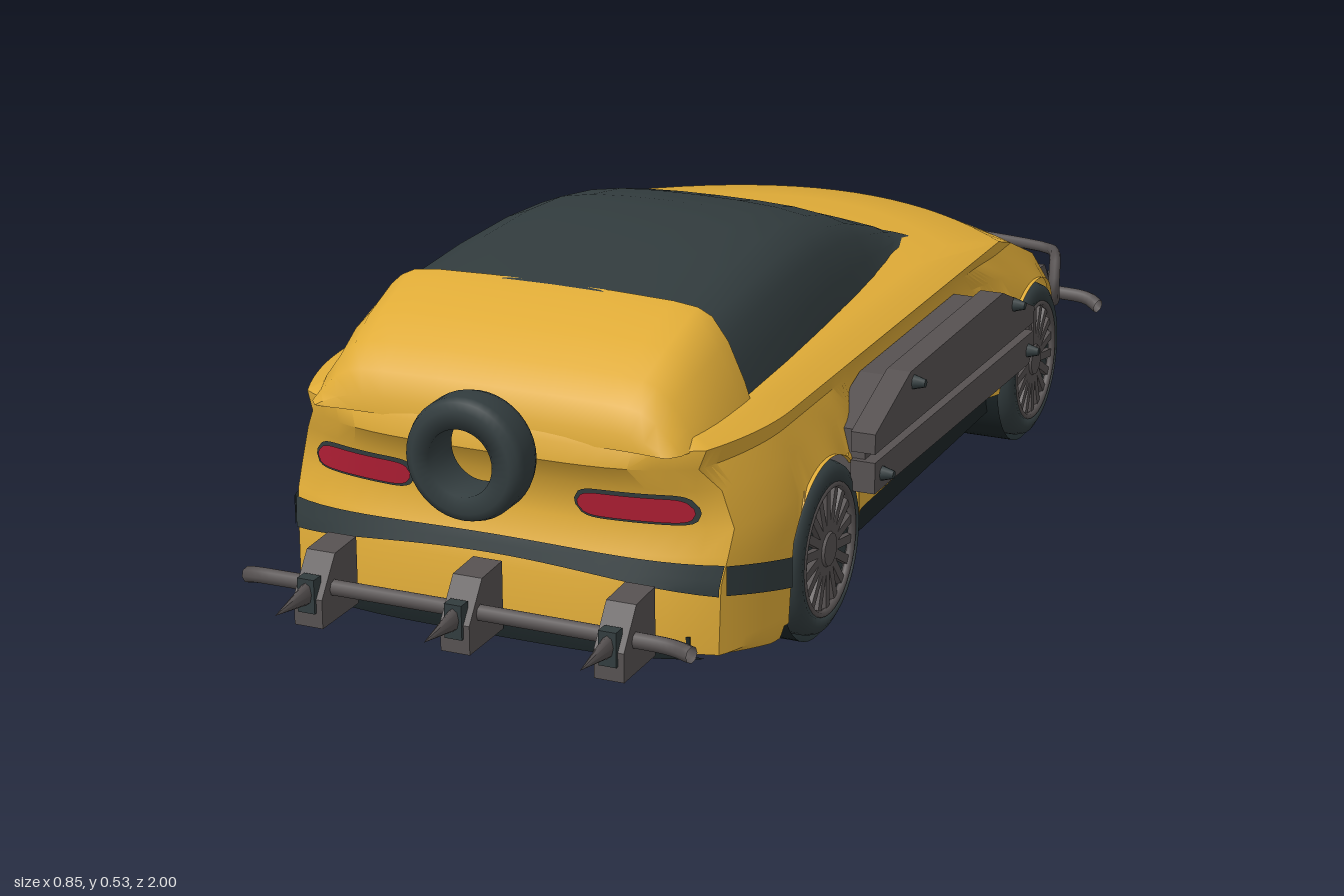
import * as THREE from 'three';
import { toCreasedNormals } from 'three/addons/utils/BufferGeometryUtils.js';

const mat = (name, color) => new THREE.MeshStandardMaterial({ name, color, side: THREE.DoubleSide });
const paint = mat('yellow paint', 0xdfab37);
const charcoal = mat('charcoal', 0x323c3e);
const black = mat('underbody black', 0x1b2426);
const metal = mat('dark metal', 0x565151);
const red = mat('lamp red', 0xb01e34);

const { lerp, smoothstep, clamp } = THREE.MathUtils;
const WHEELS = [[0.473, 0.131, 0.126], [-0.428, 0.131, 0.126]]; // z, y, radius

// Body outline by height: y, half width, nose z, tail z, nose curvature
const LEVELS = [
  [0.04, 0.365, -0.65, 0.785, 0.11], [0.07, 0.372, -0.657, 0.8, 0.11], [0.085, 0.372, -0.637, 0.8, 0.11],
  [0.17, 0.372, -0.645, 0.797, 0.11], [0.21, 0.372, -0.637, 0.785, 0.11], [0.245, 0.366, -0.622, 0.768, 0.11],
  [0.3, 0.352, -0.585, 0.775, 0.12], [0.335, 0.338, -0.535, 0.8, 0.14], [0.362, 0.347, -0.48, 0.796, 0.17],
  [0.375, 0.32, -0.38, 0.79, 0.2], [0.383, 0.29, -0.25, 0.775, 0.18], [0.386, 0.01, 0, 0.5, 0]];

function levelAt(y) {
  let i = 0;
  while (i < LEVELS.length - 2 && LEVELS[i + 1][0] < y) i++;
  const a = LEVELS[i], b = LEVELS[i + 1], t = (y - a[0]) / (b[0] - a[0]);
  return a.map((v, k) => lerp(v, b[k], t));
}
function sideX([y, w], z) {
  const rear = Math.max(0, (z - 0.55) / 0.25), nose = Math.max(0, (-0.45 - z) / 0.15);
  const waist = 0.03 * smoothstep(z, -0.33, -0.22) * (1 - smoothstep(z, 0.26, 0.37)) * (1 - smoothstep(y, 0.28, 0.36));
  return w * (1 - 0.2 * rear * rear - 0.07 * nose * nose) - waist;
}
const REAR_CURVE = 0.05;
function endPoint(L, rear, s) {
  const z1 = rear ? L[3] - REAR_CURVE : L[2] + L[4];
  return [s * sideX(L, z1), L[0], rear ? L[3] - REAR_CURVE * s ** 4 : L[2] + L[4] * s * s];
}
// Lower edge of the side panels, with round wheel arches
function lowerEdge(z) {
  let y = z > 0.5 ? lerp(0.05, 0.08, clamp((z - 0.64) / 0.16, 0, 1)) : z > -0.4 ? 0.115 : 0.04;
  for (const [wz, wy, r] of WHEELS) {
    const d = (r + 0.009) ** 2 - (z - wz) ** 2;
    if (d > 0) y = Math.max(y, wy + Math.sqrt(d));
  }
  return y;
}

// Surface through a grid of points, rows[j][i]
function skin(rows, closed, crease = 0.6) {
  const n = rows[0].length, index = [];
  for (let j = 0; j < rows.length - 1; j++)
    for (let i = 0; i < (closed ? n : n - 1); i++) {
      const a = j * n + i, b = j * n + (i + 1) % n;
      index.push(a, b, b + n, a, b + n, a + n);
    }
  const g = new THREE.BufferGeometry();
  g.setAttribute('position', new THREE.Float32BufferAttribute(rows.flat(2), 3));
  g.setIndex(index);
  return toCreasedNormals(g, crease);
}
function bodyGeometry() {
  return skin(LEVELS.map(L => {
    const loop = [], E = 20, S = 110;
    const zr = L[3] - REAR_CURVE, zf = L[2] + L[4];
    for (let i = 0; i < E; i++) loop.push(endPoint(L, true, -1 + 2 * i / E));
    for (let i = 0; i < S; i++) { const z = lerp(zr, zf, i / S); loop.push([sideX(L, z), L[0], z]); }
    for (let i = 0; i < E; i++) loop.push(endPoint(L, false, 1 - 2 * i / E));
    for (let i = 0; i < S; i++) { const z = lerp(zf, zr, i / S); loop.push([-sideX(L, z), L[0], z]); }
    return loop.map(([x, y, z]) => [x, Math.max(y, lowerEdge(z)), z]);
  }), true);
}
// Thin panels that follow the bumper ends or the body sides
function endPanel(rear, s0, s1, lo, hi, lift) {
  const rows = [];
  for (let j = 0; j <= 4; j++) {
    const row = [];
    for (let i = 0; i <= 24; i++) {
      const s = lerp(s0, s1, i / 24), p = endPoint(levelAt(lerp(lo(s), hi(s), j / 4)), rear, s);
      p[2] += rear ? lift : -lift;
      row.push(rear ? p : [-p[0], p[1], p[2]]);
    }
    rows.push(row);
  }
  return skin(rows, false);
}
// Lamp shape with rounded ends
function lampPanel(s0, s1, y, h, lift) {
  const half = s => h * Math.sqrt(Math.max(0.04, 1 - Math.abs((2 * s - s0 - s1) / (s1 - s0)) ** 8));
  return endPanel(true, s0, s1, s => y - half(s), s => y + half(s), lift);
}
function sidePanel(side, z0, z1, lo, hi) {
  const rows = [0, 0.5, 1].map(v => Array.from({ length: 13 }, (_, i) => {
    const t = i / 12, z = lerp(z0, z1, t), y = lerp(lo(t), hi(t), v);
    return [side * (sideX(levelAt(y), z) + 0.006), y, z];
  }));
  if (side > 0) rows.forEach(r => r.reverse());
  return skin(rows, false);
}
// Cabin from arched cross-sections: z, half width, roof height
const GLASS_ARCH = [[1, 0], [0.95, 0.3], [0.88, 0.62], [0.8, 0.8], [0.67, 0.9], [0.48, 0.965], [0.25, 0.993], [0, 1]];
const TAIL_ARCH = [[1, 0], [0.95, 0.3], [0.87, 0.66], [0.79, 0.88], [0.72, 0.95], [0.6, 0.98], [0.3, 1], [0, 1]];
function cabin(stations, arch, base) {
  const full = [...arch, ...arch.slice(0, -1).reverse().map(([x, y]) => [-x, y])];
  return skin(stations.map(([z, w, top]) => full.map(([x, y]) => [x * w, lerp(base, top, y), z])).reverse(), false, 0.7);
}
// Flat plate with a (z, y) outline, spanning x from a to b
function plate(points, a, b) {
  const g = new THREE.ExtrudeGeometry(new THREE.Shape(points.map(p => new THREE.Vector2(...p))), { depth: b - a, bevelEnabled: false });
  return g.rotateY(-Math.PI / 2).translate(b, 0, 0);
}
function tube(points, r, closed = false) {
  const curve = new THREE.CatmullRomCurve3(points.map(p => new THREE.Vector3(...p)), closed, 'catmullrom', 0.3);
  return new THREE.TubeGeometry(curve, 64, r, 8, closed);
}
function add(parent, name, geometry, material, x = 0, y = 0, z = 0) {
  const m = new THREE.Mesh(geometry, material);
  m.name = name;
  m.position.set(x, y, z);
  parent.add(m);
  return m;
}
const tyreProfile = (inner, r, h) => [[inner, -h], [r - 0.015, -h], [r - 0.004, -h + 0.006], [r, -h + 0.018],
  [r, h - 0.018], [r - 0.004, h - 0.006], [r - 0.015, h], [inner, h], [inner, -h]].map(p => new THREE.Vector2(...p));

function makeWheel(r) {
  const wheel = new THREE.Group();
  wheel.name = 'wheel';
  const axle = -Math.PI / 2;
  add(wheel, 'tyre', new THREE.LatheGeometry(tyreProfile(0.096, r, 0.047), 40).rotateZ(axle), charcoal);
  add(wheel, 'rimDisc', new THREE.CylinderGeometry(0.097, 0.097, 0.07, 32).rotateZ(axle), charcoal);
  add(wheel, 'rimRing', new THREE.TorusGeometry(0.094, 0.006, 6, 36).rotateY(Math.PI / 2), metal, 0.043);
  add(wheel, 'hub', new THREE.CylinderGeometry(0.024, 0.03, 0.014, 16).rotateZ(axle), metal, 0.041);
  for (let i = 0; i < 18; i++)
    add(wheel, 'spoke', new THREE.BoxGeometry(0.01, 0.075, 0.013).translate(0, 0.055, 0), metal, 0.039).rotation.x = i * Math.PI / 9;
  return wheel;
}
function makeSpikeRack() {
  const rack = new THREE.Group();
  rack.name = 'spikeRack';
  add(rack, 'rackBar', tube([[-0.345, 0.12, 0.857], [-0.3, 0.13, 0.873], [0, 0.133, 0.877], [0.29, 0.13, 0.873], [0.345, 0.13, 0.888]], 0.012), metal);
  const block = [[0.81, 0.083], [0.91, 0.083], [0.91, 0.125], [0.87, 0.18], [0.81, 0.183]];
  for (const x of [-0.22, 0.006, 0.235]) {
    add(rack, 'spikeBlock', plate(block, -0.022, 0.022), metal, x);
    add(rack, 'spikeSocket', new THREE.BoxGeometry(0.026, 0.05, 0.02), charcoal, x, 0.13, 0.905);
    add(rack, 'spike', new THREE.ConeGeometry(0.018, 0.09, 8).rotateX(Math.PI / 2).scale(0.55, 1, 1), metal, x, 0.133, 0.953);
  }
  return rack;
}

export function createModel() {
  const car = new THREE.Group();
  car.name = 'car';

  // Body, glasshouse and tail
  add(car, 'body', bodyGeometry(), paint);
  add(car, 'glasshouse', cabin([[-0.235, 0.222, 0.383], [-0.16, 0.238, 0.418], [-0.075, 0.248, 0.452], [0, 0.257, 0.481],
    [0.085, 0.265, 0.505], [0.18, 0.272, 0.521], [0.28, 0.279, 0.527], [0.42, 0.287, 0.523], [0.588, 0.293, 0.51]], GLASS_ARCH, 0.378), charcoal);
  add(car, 'tailDeck', cabin([[0.58, 0.304, 0.51], [0.61, 0.304, 0.505], [0.68, 0.3, 0.48], [0.74, 0.29, 0.45],
    [0.775, 0.28, 0.42], [0.79, 0.268, 0.385], [0.792, 0.26, 0.362]], TAIL_ARCH, 0.36), paint);

  // Bumper bands, diffuser, grille and lamps
  add(car, 'rearBand', endPanel(true, -1, 1, s => 0.187 - 0.03 * s * s, s => 0.212 - 0.012 * s * s, 0.006), charcoal);
  add(car, 'diffuser', endPanel(true, -0.95, 0.95, () => 0.068, s => 0.107 - 0.042 * s * s, 0.006), black);
  add(car, 'grille', endPanel(false, -0.97, 0.97, () => 0.082, s => 0.128 - 0.025 * s * s, 0.003), charcoal);
  for (const side of [-1, 1]) {
    const span = (a, b) => side > 0 ? [a, b] : [-b, -a];
    add(car, 'tailLampFrame', lampPanel(...span(0.375, 0.905), 0.273, 0.022, 0.004), charcoal);
    add(car, 'tailLamp', lampPanel(...span(0.392, 0.888), 0.273, 0.0175, 0.008), red);
    add(car, 'headLamp', endPanel(false, ...span(0.6, 0.97), s => 0.165 + 0.03 * (Math.abs(s) - 0.6), s => 0.17 + 0.09 * (Math.abs(s) - 0.6), 0.005), metal);
    add(car, 'rearBandSide', sidePanel(side, 0.61, 0.745, t => lerp(0.125, 0.157, t), t => lerp(0.17, 0.2, t)), charcoal);
  }

  // Underbody: core, sills, end floors and wheel housings
  add(car, 'floorCore', new THREE.BoxGeometry(0.54, 0.21, 1.15), black, 0, 0.175, 0.105);
  add(car, 'sills', new THREE.BoxGeometry(0.672, 0.045, 0.66), black, 0, 0.098, 0.023);
  add(car, 'rearFloor', new THREE.BoxGeometry(0.58, 0.025, 0.17), black, 0, 0.086, 0.685);
  add(car, 'noseFloor', new THREE.BoxGeometry(0.5, 0.035, 0.13), black, 0, 0.06, -0.525);
  add(car, 'noseFloorTip', new THREE.BoxGeometry(0.24, 0.035, 0.05), black, 0, 0.06, -0.608);
  for (const side of [-1, 1])
    for (const [z, y, r] of WHEELS) {
      const wheel = makeWheel(r);
      wheel.position.set(side * 0.328, y, z);
      if (side < 0) wheel.rotation.y = Math.PI;
      car.add(wheel);
      add(car, 'wheelArch', new THREE.CylinderGeometry(r + 0.009, r + 0.009, 0.085, 28, 1, true, Math.PI, Math.PI)
        .rotateZ(Math.PI / 2), black, side * 0.314, y, z);
      add(car, 'wheelHousing', new THREE.BoxGeometry(0.09, 0.17, 0.264), charcoal, side * 0.235, 0.12, z);
    }

  // Armour plates on the doors
  const backing = [[0.38, 0.2], [0.38, 0.28], [0.25, 0.32], [-0.15, 0.32], [-0.3, 0.25], [-0.3, 0.18]];
  const upper = [[0.39, 0.25], [0.39, 0.28], [0.25, 0.33], [-0.155, 0.33], [-0.31, 0.262], [-0.31, 0.236]];
  const lower = [[0.39, 0.19], [0.39, 0.237], [-0.31, 0.222], [-0.31, 0.195], [-0.29, 0.172]];
  for (const side of [-1, 1]) {
    const slab = (name, pts, a, b) => add(car, name, side > 0 ? plate(pts, a, b) : plate(pts, -b, -a), metal);
    slab('armourBacking', backing, 0.33, 0.39);
    slab('upperArmour', upper, 0.372, 0.409);
    slab('lowerArmour', lower, 0.372, 0.409);
    for (const [z, y] of [[0.235, 0.31], [-0.21, 0.295], [0.36, 0.212], [-0.285, 0.196]])
      add(car, 'bolt', new THREE.CylinderGeometry(0.006, 0.012, 0.02, 8).rotateZ(-side * Math.PI / 2), charcoal, side * 0.417, y, z);
  }

  // Spare tyre
  add(car, 'spareTyre', new THREE.LatheGeometry(tyreProfile(0.048, 0.088, 0.034), 40).rotateX(Math.PI / 2), charcoal, 0, 0.342, 0.839);

  // Spike racks and looped nose guard
  const rearRack = makeSpikeRack(), frontRack = makeSpikeRack();
  frontRack.rotation.y = Math.PI;
  frontRack.position.y = -0.03;
  car.add(rearRack, frontRack);
  const half = y => [[-0.318, y, -0.69], [-0.285, y, -0.762], [-0.15, y, -0.788], [0, y, -0.8], [0.15, y, -0.788], [0.285, y, -0.762], [0.318, y, -0.69]];
  add(car, 'noseGuard', tube([...half(0.215), [0.323, 0.18, -0.672], ...half(0.147).reverse(), [-0.323, 0.18, -0.672]], 0.0095, true), metal);
  return car;
}
